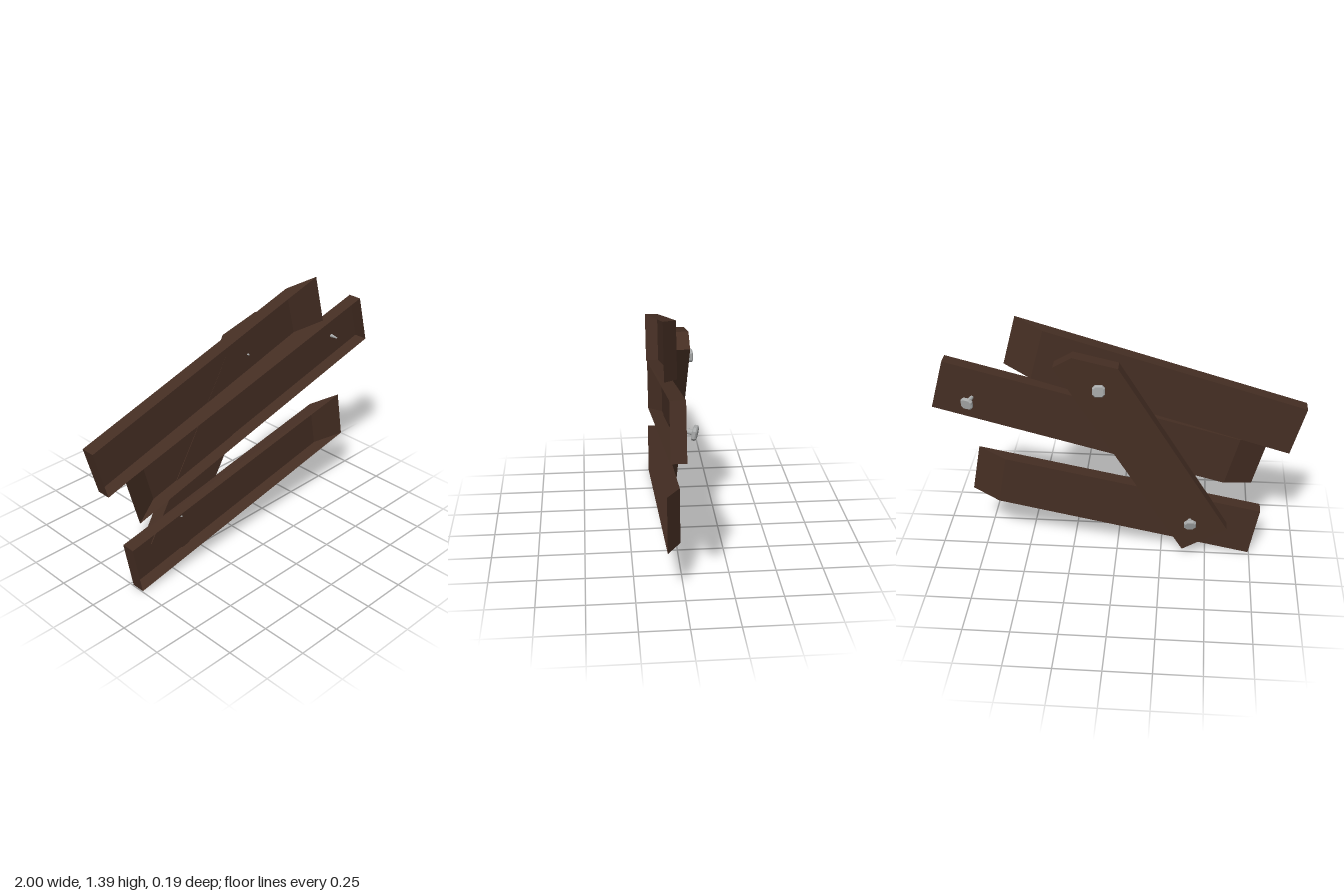
import * as THREE from 'three';

const wood = new THREE.MeshStandardMaterial({ color: 0x452e23, side: THREE.DoubleSide });
wood.name = 'dark wood';
const steel = new THREE.MeshStandardMaterial({ color: 0xa9abab });
steel.name = 'grey steel';

// Flat-faced solid between two outlines, both counter-clockwise seen from the front.
function prism(name, front, back, openFront) {
  const pos = [];
  const tri = (...pts) => pts.forEach((p) => pos.push(...p));
  const n = front.length;
  for (let i = 0; i < n; i++) {
    const j = (i + 1) % n;
    tri(front[i], back[i], back[j]);
    tri(front[i], back[j], front[j]);
  }
  for (let i = 1; i < n - 1; i++) {
    tri(back[0], back[i + 1], back[i]);
    if (!openFront) tri(front[0], front[i], front[i + 1]);
  }
  const geo = new THREE.BufferGeometry();
  geo.setAttribute('position', new THREE.Float32BufferAttribute(pos, 3));
  geo.computeVertexNormals();
  const mesh = new THREE.Mesh(geo, wood);
  mesh.name = name;
  return mesh;
}

// Hollow board, open at the front, with one end mitred towards the back.
function plank(name, [bl, br, tr, tl], mitredEnd) {
  const along = new THREE.Vector2(br[0] - bl[0], br[1] - bl[1]).setLength(0.16);
  const front = [bl, br, tr, tl].map(([x, y]) => [x, y, 0.095]);
  const back = front.map(([x, y], i) => {
    const right = i === 1 || i === 2;
    const s = right && mitredEnd === 'xPlus' ? -1 : !right && mitredEnd === 'xMinus' ? 1 : 0;
    return [x + s * along.x, y + s * along.y, 0.02];
  });
  return prism(name, front, back, true);
}

// Loose bolt: chamfered square head and a tapering shaft from head to tip.
function bolt(name, head, tip) {
  const group = new THREE.Group();
  group.name = name;
  const from = new THREE.Vector3(...head);
  const axis = new THREE.Vector3(...tip).sub(from);
  const length = axis.length();

  const a = 0.027, c = 0.016;
  const outline = new THREE.Shape(
    [[a, -c], [a, c], [c, a], [-c, a], [-a, c], [-a, -c], [-c, -a], [c, -a]]
      .map(([x, y]) => new THREE.Vector2(x, y)));
  const headGeo = new THREE.ExtrudeGeometry(outline, {
    depth: 0.012, bevelEnabled: true, bevelThickness: 0.006, bevelSize: 0.006, bevelSegments: 1,
  });
  headGeo.translate(0, 0, -0.006);
  const headMesh = new THREE.Mesh(headGeo, steel);
  headMesh.name = 'boltHead';

  const shaftGeo = new THREE.CylinderGeometry(0.004, 0.016, length, 12);
  shaftGeo.rotateX(Math.PI / 2).translate(0, 0, length / 2);
  const shaft = new THREE.Mesh(shaftGeo, steel);
  shaft.name = 'boltShaft';

  group.add(headMesh, shaft);
  group.position.copy(from);
  group.quaternion.setFromUnitVectors(new THREE.Vector3(0, 0, 1), axis.normalize());
  return group;
}

export function createModel() {
  const model = new THREE.Group();
  model.name = 'brokenBarricade';

  // Three slanted boards
  model.add(
    plank('topPlank', [[-0.925, 0.672], [0.61, 1.118], [0.538, 1.395], [-1, 0.945]], 'xPlus'),
    plank('middlePlank', [[-0.74, 0.428], [1, 0.88], [0.925, 1.155], [-0.815, 0.705]], 'xMinus'),
    plank('bottomPlank', [[-0.745, 0], [0.825, 0.317], [0.775, 0.595], [-0.797, 0.285]], 'xPlus'),
  );

  // Diagonal brace behind them, leaning back a little
  const outline = [[-0.37, 0.05], [0.33, 1.18], [0.23, 1.24], [-0.01, 1.185], [-0.615, 0.2]];
  model.add(prism('diagonalBrace',
    outline.map(([x, y]) => [x, y, 0.027 - 0.006 * y]),
    outline.map(([x, y]) => [x, y, -0.041 - 0.012 * y]), false));

  // Half-loose bolts
  model.add(
    bolt('topBolt', [0.09, 1.065, -0.077], [0.1, 1.062, 0.03]),
    bolt('bottomBolt', [-0.41, 0.241, -0.072], [-0.402, 0.276, 0.03]),
    bolt('middleBolt', [0.795, 0.938, -0.034], [0.762, 0.956, 0.075]),
  );
  return model;
}
